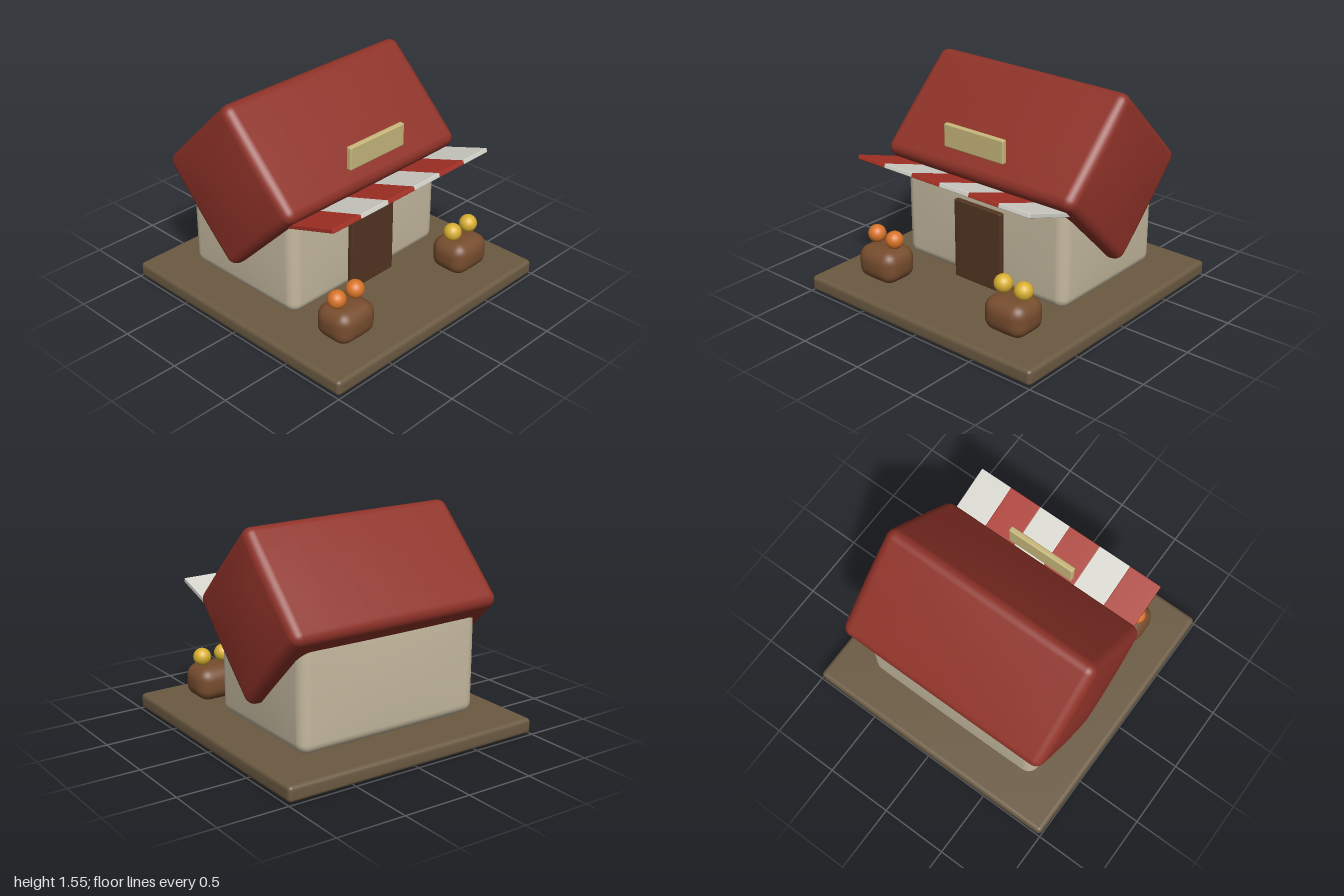
import * as THREE from 'three';
import { mergeVertices } from 'three/addons/utils/BufferGeometryUtils.js';

const paint = (name, color) => {
  const m = new THREE.MeshStandardMaterial({ color });
  m.name = name;
  return m;
};

// Soft cushion-like box: rounded edges (r) and faces that swell at the middle.
function softBox(size, r, bulge = [0, 0, 0]) {
  const n = 14, k = 4;
  const half = size.map((s) => s / 2);
  let geo = new THREE.BoxGeometry(1, 1, 1, n, n, n);
  geo.deleteAttribute('uv');
  geo.deleteAttribute('normal');
  geo = mergeVertices(geo, 1e-4);
  const pos = geo.attributes.position;
  // the outer k rows on each side form the rounding
  const place = (c, h) => {
    const i = Math.round((c + 0.5) * n);
    if (i < k) return -h + (r * i) / k;
    if (i > n - k) return h - (r * (n - i)) / k;
    return -h + r + ((2 * (h - r)) * (i - k)) / (n - 2 * k);
  };
  for (let i = 0; i < pos.count; i++) {
    const p = [pos.getX(i), pos.getY(i), pos.getZ(i)].map((c, a) => place(c, half[a]));
    const inner = p.map((c, a) => THREE.MathUtils.clamp(c, r - half[a], half[a] - r));
    const d = p.map((c, a) => c - inner[a]);
    const len = Math.hypot(...d) || 1;
    const q = inner.map((c, a) => c + (d[a] / len) * r);
    const u = q.map((c, a) => c / half[a]);
    const out = q.map((c, a) => {
      const v = u[(a + 1) % 3], w = u[(a + 2) % 3];
      return c - bulge[a] * u[a] * (1 - (1 - v * v) * (1 - w * w));
    });
    pos.setXYZ(i, ...out);
  }
  geo.computeVertexNormals();
  return geo;
}

export function createModel() {
  const mats = {
    earth: paint('earth brown', 0x6b5a42),
    plaster: paint('cream plaster', 0xc6baa0),
    roof: paint('roof red', 0x8e3228),
    red: paint('awning red', 0xa93226),
    white: paint('awning white', 0xd5d5cd),
    door: paint('door brown', 0x523522),
    sign: paint('sign tan', 0xc8b87c),
    basket: paint('basket brown', 0x764c2e),
    orange: paint('fruit orange', 0xd87428),
    yellow: paint('fruit yellow', 0xd9b032),
  };
  const model = new THREE.Group();
  model.name = 'shop';
  const add = (name, geo, mat, x, y, z, parent = model) => {
    const mesh = new THREE.Mesh(geo, mat);
    mesh.name = name;
    mesh.position.set(x, y, z);
    parent.add(mesh);
    return mesh;
  };

  // Ground slab and walls
  add('base', softBox([2, 0.125, 2], 0.03, [0.005, 0.007, 0.005]), mats.earth, 0, 0.0625, 0);
  add('walls', softBox([1.46, 0.8, 1.05], 0.08, [0.015, 0.015, 0.015]), mats.plaster, 0, 0.52, -0.205);

  // Roof is a square block turned on its edge
  const roof = add('roof', softBox([1.71, 0.9, 0.9], 0.07, [0.035, 0.012, 0.012]), mats.roof, 0, 0.955, -0.21);
  roof.rotation.x = Math.PI / 4;

  // Door and sign board
  add('door', softBox([0.42, 0.59, 0.046], 0.01, [0.002, 0.002, 0.002]), mats.door, 0, 0.425, 0.332);
  add('signBoard', softBox([0.52, 0.167, 0.04], 0.01), mats.sign, 0, 1.183, 0.365);

  // Striped awning, tilted up towards the front
  const awning = new THREE.Group();
  awning.name = 'awning';
  awning.position.set(0, 0.93, 0.508);
  awning.rotation.x = -0.32;
  model.add(awning);
  const stripe = softBox([0.252, 0.03, 0.43], 0.004);
  for (let i = 0; i < 6; i++) {
    add('awningStripe', stripe, i % 2 ? mats.white : mats.red, (i - 2.5) * 0.252, 0, 0, awning);
  }

  // Baskets with two fruits each
  const basketGeo = softBox([0.35, 0.25, 0.305], 0.085, [0.015, 0.008, 0.015]);
  const fruitGeo = new THREE.SphereGeometry(0.064, 24, 16);
  for (const side of [-1, 1]) {
    const stand = new THREE.Group();
    stand.name = side < 0 ? 'rightFruitStand' : 'leftFruitStand';
    stand.position.set(side * 0.58, 0, 0.655);
    model.add(stand);
    add('basket', basketGeo, mats.basket, 0, 0.243, 0, stand);
    for (const dx of [-0.085, 0.085]) {
      add('fruit', fruitGeo, side < 0 ? mats.orange : mats.yellow, dx, 0.427, 0, stand);
    }
  }
  return model;
}
